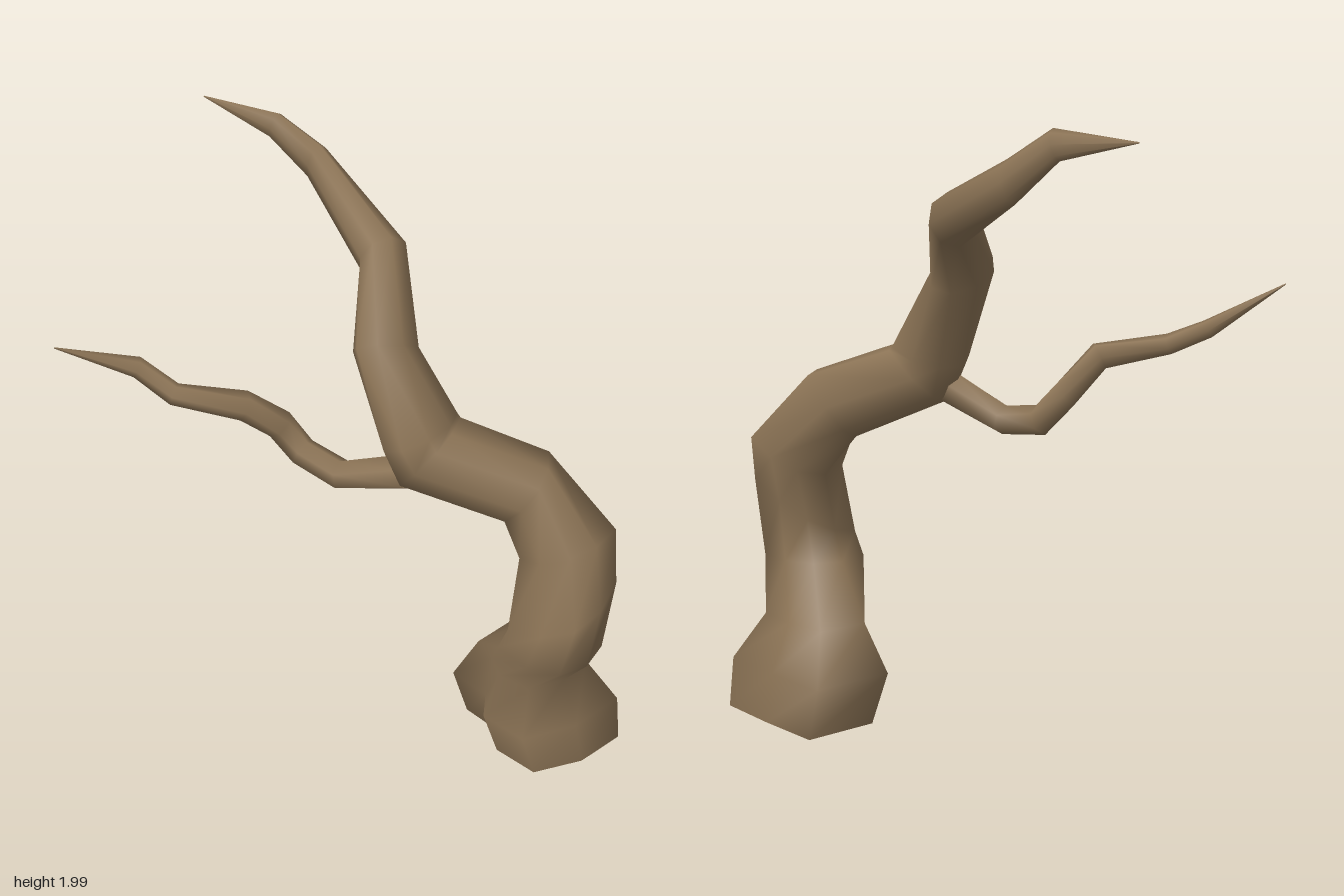
import * as THREE from 'three';

// Root flare outline on a unit ring: flat back, left lobe, groove, front lobe
const FLARE = [[0.87, 0.1], [0.48, 0.91], [-0.18, 0.87], [-0.4, 0.45],
  [-1, 0.36], [-0.92, -1], [0.05, -0.96], [1, -0.86]];

// Corner points of every ring, set square to the path unless a lean [x, z] is given.
// flare blends in the root outline, twist turns the ring (degrees),
// knuckle pushes out the back right corner and bulge the front left one.
function ringPoints(rings, sides) {
  const centres = rings.map((r) => new THREE.Vector3(...r.at));
  return rings.map(({ size, lean, flare = 0, twist = 0, knuckle = 1, bulge = 1 }, i) => {
    const a = centres[Math.max(i - 1, 0)], b = centres[Math.min(i + 1, rings.length - 1)];
    const t = lean ? new THREE.Vector3(lean[0], 1, lean[1]) : b.clone().sub(a);
    t.normalize();
    const v = new THREE.Vector3(0, 0, 1).addScaledVector(t, -t.z).normalize();
    const u = t.clone().cross(v);
    return Array.from({ length: sides }, (_, k) => {
      const ang = (k / sides) * Math.PI * 2 + THREE.MathUtils.degToRad(twist);
      const push = k === sides - 1 ? knuckle : k === sides / 2 - 1 ? bulge : 1;
      let c = Math.cos(ang) * push, s = Math.sin(ang) * push;
      if (flare) {
        c += (FLARE[k][0] - c) * flare;
        s += (FLARE[k][1] - s) * flare;
      }
      return centres[i].clone().addScaledVector(u, c * size[0]).addScaledVector(v, s * size[1]);
    });
  });
}

// Skin neighbouring rings with smooth sides
function limb(rings, sides) {
  const index = [];
  for (let i = 0; i < rings.length - 1; i++) {
    for (let k = 0; k < sides; k++) {
      const n = (k + 1) % sides;
      const a = i * sides + k, b = i * sides + n;
      index.push(a, a + sides, b, b, a + sides, b + sides);
    }
  }
  const geo = new THREE.BufferGeometry().setFromPoints(ringPoints(rings, sides).flat());
  geo.setIndex(index);
  geo.computeVertexNormals();
  return geo;
}

export function createModel() {
  const group = new THREE.Group();
  group.name = 'bareTree';
  // The trunk is hollow and open underneath
  const bark = new THREE.MeshStandardMaterial({ color: 0x8b7355, side: THREE.DoubleSide });
  bark.name = 'bark brown';

  const add = (name, geo) => {
    const mesh = new THREE.Mesh(geo, bark);
    mesh.name = name;
    group.add(mesh);
  };

  // Trunk flowing into the tall upper branch
  add('trunk', limb([
    { at: [0.6, 0.004, -0.352], size: [0.243, 0.187], flare: 1, lean: [0, 0] },
    { at: [0.57, 0.18, -0.325], size: [0.255, 0.21], flare: 1, lean: [0, 0] },
    { at: [0.565, 0.345, -0.32], size: [0.175, 0.145], flare: 0.7, lean: [0, 0] },
    { at: [0.695, 0.52, -0.245], size: [0.148, 0.128], knuckle: 1.25, bulge: 1.22, lean: [0, 0] },
    { at: [0.713, 0.69, -0.262], size: [0.162, 0.135], knuckle: 1.33, bulge: 1.25, lean: [-0.4, 0.35] },
    { at: [0.67, 0.89, -0.315], size: [0.138, 0.128], knuckle: 1.32, bulge: 1.08 },
    { at: [0.54, 1.07, -0.265], size: [0.132, 0.104], knuckle: 1.35, twist: -15 },
    { at: [0.287, 1.19, -0.083], size: [0.122, 0.125], knuckle: 1.38, twist: -20, lean: [-1.2, 0.35] },
    { at: [0.247, 1.255, -0.095], size: [0.107, 0.134], knuckle: 1.15, twist: -20 },
    { at: [0.125, 1.523, -0.08], size: [0.08, 0.12], lean: [-0.65, -0.6] },
    { at: [-0.03, 1.708, -0.26], size: [0.087, 0.08], lean: [-3, -1.9] },
    { at: [-0.43, 1.845, -0.41], size: [0.066, 0.04], lean: [-4, -0.7] },
    { at: [-0.56, 1.952, -0.36], size: [0.048, 0.03] },
    { at: [-0.86, 1.965, -0.35], size: [0.002, 0.002] },
  ], 8));

  // Thin crooked side branch
  add('sideBranch', limb([
    { at: [0.25, 1.14, -0.04], size: [0.06, 0.058] },
    { at: [0.02, 1.045, 0.005], size: [0.049, 0.054] },
    { at: [-0.14, 1.065, 0.01], size: [0.05, 0.048] },
    { at: [-0.22, 1.148, 0.03], size: [0.05, 0.05] },
    { at: [-0.26, 1.268, 0.152], size: [0.046, 0.05] },
    { at: [-0.43, 1.31, 0.29], size: [0.033, 0.04] },
    { at: [-0.565, 1.368, 0.315], size: [0.03, 0.036] },
    { at: [-0.69, 1.5, 0.54], size: [0.002, 0.002] },
  ], 6));

  return group;
}
